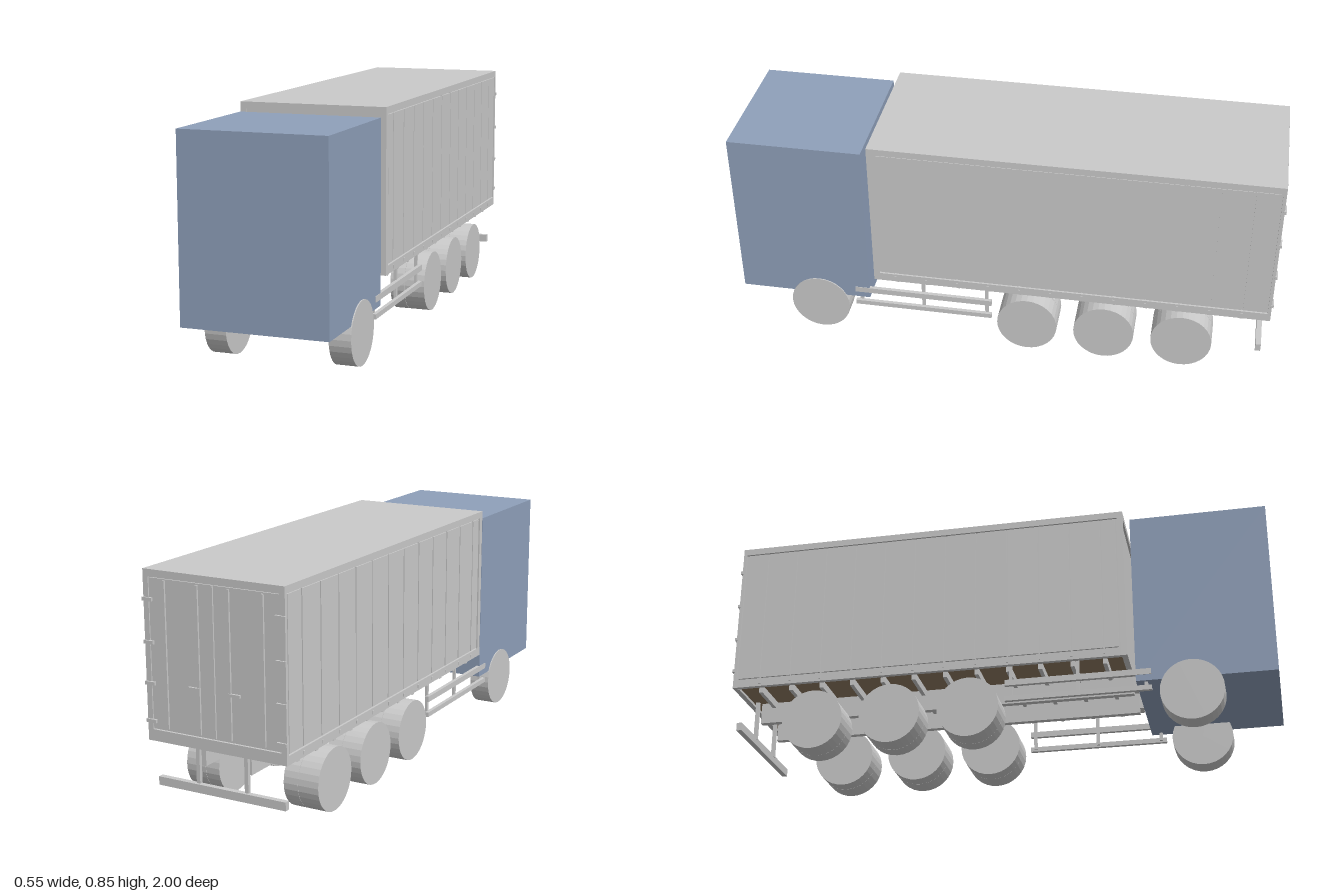
import * as THREE from 'three';

export function createModel() {
  const truck = new THREE.Group();
  truck.name = 'semiTrailerTruck';

  const mat = (name, color) => {
    const m = new THREE.MeshStandardMaterial({ color, flatShading: true });
    m.name = name;
    return m;
  };
  const blue = mat('cabBlue', 0x8fa0ba);
  const grey = mat('lightGrey', 0xcacaca);
  const wood = mat('floorWood', 0x8f7a62);

  // Box given by its minimum and maximum on each axis
  const box = (name, x, y, z, material = grey, parent = truck) => {
    const mesh = new THREE.Mesh(
      new THREE.BoxGeometry(x[1] - x[0], y[1] - y[0], z[1] - z[0]), material);
    mesh.position.set((x[0] + x[1]) / 2, (y[0] + y[1]) / 2, (z[0] + z[1]) / 2);
    mesh.name = name;
    parent.add(mesh);
    return mesh;
  };
  // x range on one side of the model
  const span = (s, a, b) => (s > 0 ? [a, b] : [-b, -a]);
  const around = (c, w) => [c - w / 2, c + w / 2];

  // Cab
  box('cab', [-0.26, 0.26], [0.16, 0.812], [0.505, 1], blue);

  // Container body
  const container = new THREE.Group();
  container.name = 'container';
  truck.add(container);
  const part = (name, x, y, z, m = grey) => box(name, x, y, z, m, container);
  part('containerCore', [-0.261, 0.261], [0.276, 0.835], [-0.985, 0.472]);
  part('roof', [-0.27, 0.27], [0.82, 0.845], [-0.994, 0.48]);
  part('floor', [-0.258, 0.258], [0.27, 0.275], [-0.98, 0.468], wood);
  part('frontSill', [-0.25, 0.25], [0.26, 0.29], [0.46, 0.48]);
  part('rearSill', [-0.25, 0.25], [0.26, 0.3], [-0.994, -0.975]);

  const step = 0.117;
  const stations = Array.from({ length: 12 }, (_, i) => -0.89 + step * i);
  const edges = [-0.978, ...stations, 0.454];

  for (const s of [1, -1]) {
    part('frontPost', span(s, 0.25, 0.27), [0.26, 0.82], [0.458, 0.48]);
    part('rearPost', span(s, 0.25, 0.27), [0.26, 0.82], [-0.994, -0.982]);
    part('bottomRail', span(s, 0.254, 0.27), [0.26, 0.292], [-0.982, 0.458]);

    // Side boards with narrow grooves between them
    for (let i = 0; i < edges.length - 1; i++) {
      part('sideBoard', span(s, 0.26, 0.268), [0.296, 0.817],
        [edges[i] + 0.003, edges[i + 1] - 0.003]);
    }
    for (const z of stations) {
      part('lashingHook', span(s, 0.268, 0.273), [0.27, 0.282], around(z, 0.008));
    }

    // Rear door leaf, locking bars, handle and hinges
    part('rearDoor', span(s, 0.002, 0.249), [0.304, 0.817], [-0.991, -0.98]);
    for (const x of [0.06, 0.188]) {
      part('lockingBar', around(s * x, 0.008), [0.31, 0.812], [-0.998, -0.99]);
    }
    part('doorHandle', span(s, 0.055, 0.1), [0.46, 0.47], [-1, -0.992]);
    for (const y of [0.33, 0.46, 0.6, 0.745]) {
      part('doorHinge', span(s, 0.235, 0.273), around(y, 0.012), [-1, -0.99]);
    }
  }

  // Chassis beams, cross members and side guards
  for (const z of stations) {
    box('crossMember', [-0.25, 0.25], [0.242, 0.27], around(z, 0.014));
  }
  for (const s of [1, -1]) {
    box('chassisBeam', around(s * 0.09, 0.022), [0.182, 0.262], [-0.94, 0.48]);
    box('beamNose', around(s * 0.09, 0.022), [0.2, 0.252], [0.48, 0.51]);
    box('guardUpperRail', span(s, 0.248, 0.262), [0.183, 0.205], [0.035, 0.56]);
    box('guardLowerRail', span(s, 0.248, 0.262), [0.124, 0.142], [0.035, 0.56]);
    for (const z of [0.055, 0.298]) {
      box('guardUpright', span(s, 0.24, 0.25), [0.13, 0.265], around(z, 0.012));
    }
    box('guardFrontUpright', span(s, 0.24, 0.25), [0.13, 0.2], around(0.54, 0.012));
    box('bumperUpright', around(s * 0.095, 0.014), [0.12, 0.275], [-0.965, -0.952]);
  }
  box('rearBumper', [-0.25, 0.25], [0.097, 0.127], [-0.974, -0.954]);

  // Wheels: single at the front, doubled on the three trailer axles
  const wheel = (name, s, inner, outer, z) => {
    const geometry = new THREE.CylinderGeometry(0.113, 0.113, outer - inner, 32);
    geometry.rotateZ(Math.PI / 2);
    const mesh = new THREE.Mesh(geometry, grey);
    mesh.position.set((s * (inner + outer)) / 2, 0.113, z);
    mesh.name = name;
    truck.add(mesh);
  };
  for (const s of [1, -1]) {
    wheel('frontWheel', s, 0.185, 0.264, 0.7);
    for (const z of [-0.1, -0.39, -0.68]) {
      wheel('outerTrailerWheel', s, 0.186, 0.264, z);
      wheel('innerTrailerWheel', s, 0.13, 0.185, z);
    }
  }
  return truck;
}
